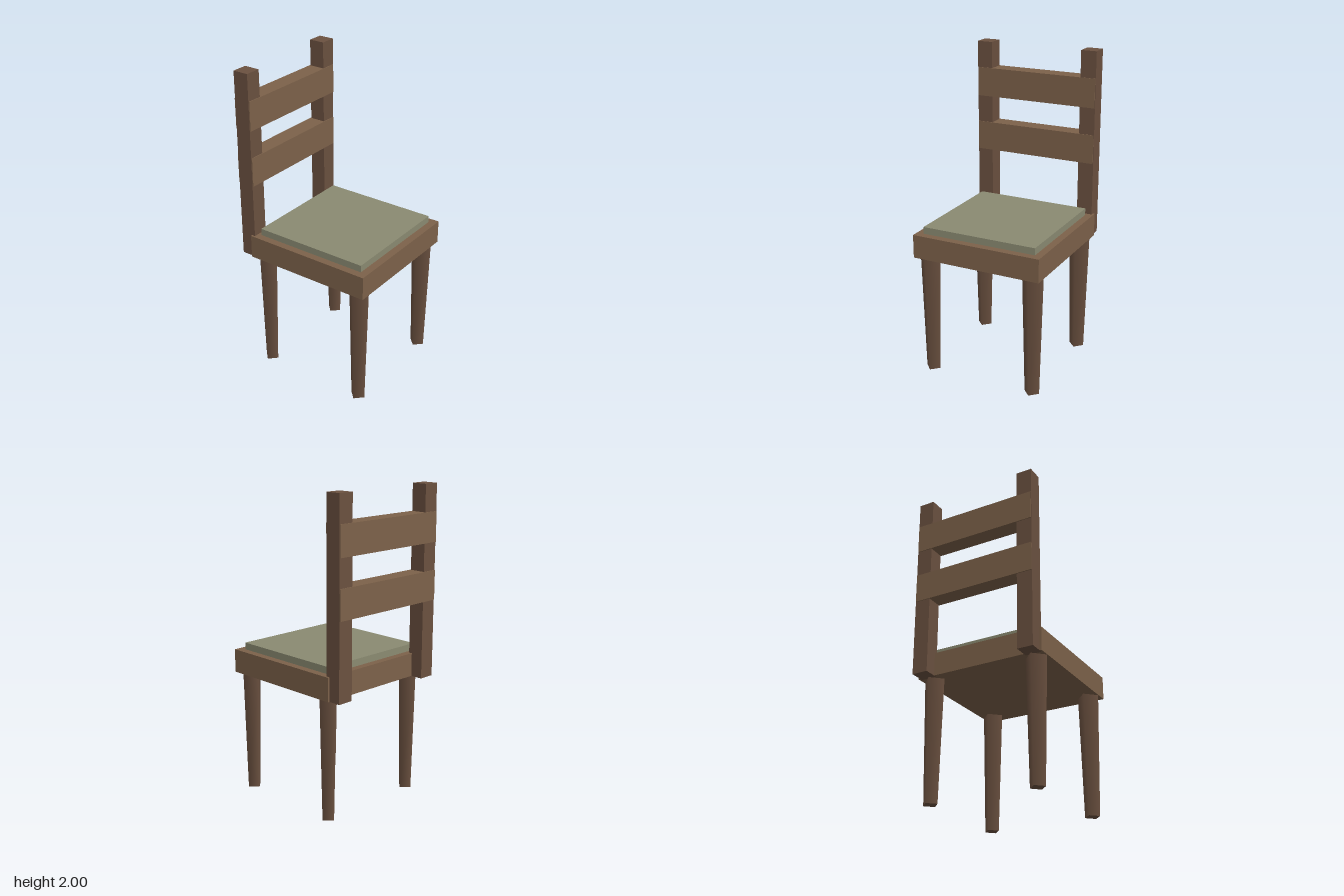
import * as THREE from 'three';

export function createModel() {
  const chair = new THREE.Group();
  chair.name = 'chair';
  const wood = new THREE.MeshStandardMaterial({ color: 0x7d624a });
  const darkWood = new THREE.MeshStandardMaterial({ color: 0x6b5140 });
  const fabric = new THREE.MeshStandardMaterial({ color: 0x8b8b72 });

  const add = (name, geometry, material, x, y, z) => {
    const mesh = new THREE.Mesh(geometry, material);
    mesh.name = name;
    mesh.position.set(x, y, z);
    chair.add(mesh);
  };

  // Seat and cushion
  add('seat', new THREE.BoxGeometry(0.855, 0.15, 0.855), wood, 0.043, 0.86, 0);
  add('cushion', new THREE.BoxGeometry(0.76, 0.045, 0.76), fabric, 0.042, 0.957, 0);

  // Tapered four-sided legs, corners on the axes, smoothly shaded
  const leg = new THREE.CylinderGeometry(0.071, 0.05, 0.785, 4);
  // Square back posts
  const post = new THREE.BoxGeometry(0.103, 1.215, 0.103);
  for (const side of [1, -1]) {
    const label = side > 0 ? 'front' : 'back';
    add(`${label}LegAtBackrest`, leg, darkWood, -0.312, 0.3925, side * 0.354);
    add(`${label}LegAtSeatEdge`, leg, darkWood, 0.393, 0.3925, side * 0.354);
    add(`${label}BackPost`, post, darkWood, -0.414, 1.3925, side * 0.363);
  }

  // Horizontal back rails, slightly thicker than the posts
  const rail = new THREE.BoxGeometry(0.113, 0.188, 0.823);
  add('lowerBackRail', rail, wood, -0.4145, 1.373, 0);
  add('upperBackRail', rail, wood, -0.4145, 1.736, 0);

  return chair;
}
